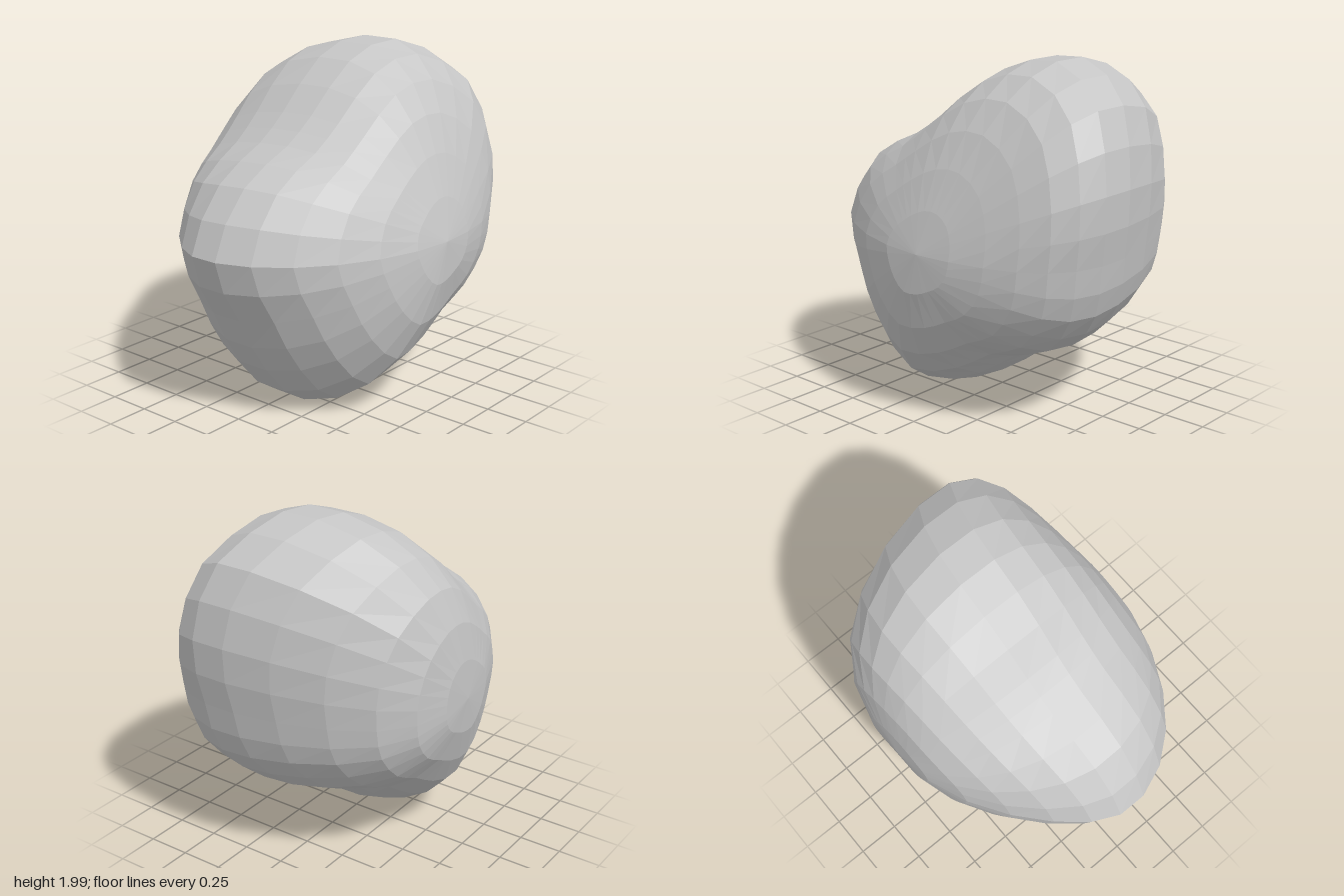
import * as THREE from 'three';

// Lobed outline of the boulder at its widest, counter-clockwise every 22.5 degrees (x, y)
const OUTLINE = [
  [0.96, 1.0], [1.0, 1.38], [0.87, 1.79], [0.49, 1.99], [0.1, 1.91], [-0.23, 1.66],
  [-0.43, 1.53], [-0.77, 1.37], [-1.0, 1.01], [-0.84, 0.64], [-0.64, 0.29], [-0.32, 0.0],
  [0.1, 0.14], [0.37, 0.33], [0.66, 0.44], [0.89, 0.69],
];
const CENTRE = new THREE.Vector2(0.09, 1.0);
const SIDES = 32, BANDS = 13, DEPTH = 0.8;
const WIDEST = Math.cos(Math.PI / BANDS / 2); // size of the two middle rings

// Depth of a point on the ring whose unit depth is c (1 front pole, -1 back pole)
function depthAt(x, y, c) {
  const up = y - 1;
  let z = DEPTH * c;
  if (x > 0) z += 0.25 * x ** 3; // right lobe leans forward
  if (c > 0) { // front: upper part slopes back, chin bulges
    return z - (up > 0 ? 0.22 * c ** 3 * up : 0.12 * c * up * (1 - x));
  }
  if (up > 0) z += 0.27 * c * up * up; // fuller upper back
  return z + (x > 0 ? -0.36 * x * x * c * c : -0.2 * x * x * c);
}

// The two hollows beside the lobes get deeper towards the back
function heightAt(x, y, c) {
  const hollow = x * (1 - y) > 0 ? 0.2 * x * Math.abs(1 - y) : 0;
  return y + hollow * Math.max(0, 0.3 - c);
}

export function createModel() {
  const group = new THREE.Group();
  const stone = new THREE.MeshStandardMaterial({ color: 0xc6c6c6 });
  stone.name = 'stone grey';

  const curve = new THREE.CatmullRomCurve3(
    OUTLINE.map(([x, y]) => new THREE.Vector3(x, y, 0)), true, 'catmullrom', 0.5);

  // Rings run from the front pole to the back pole
  const positions = [], index = [];
  for (let i = 0; i <= BANDS; i++) {
    const theta = (i / BANDS) * Math.PI;
    const s = Math.sin(theta) / WIDEST, c = Math.cos(theta);
    const lobed = 0.4 + 0.6 * s * s; // rings get rounder towards the poles
    for (let j = 0; j < SIDES; j++) {
      const p = curve.getPoint(j / SIDES);
      const dx = p.x - CENTRE.x, dy = p.y - CENTRE.y;
      const k = s * THREE.MathUtils.lerp(0.96 / Math.hypot(dx, dy), 1, lobed);
      const x = CENTRE.x + dx * k, y = CENTRE.y + dy * k;
      positions.push(x, heightAt(x, y, c), depthAt(x, y, c));
    }
  }
  for (let i = 0; i < BANDS; i++) {
    for (let j = 0; j < SIDES; j++) {
      const n = (j + 1) % SIDES;
      const a = i * SIDES + j, b = a + SIDES;
      const d = i * SIDES + n, e = d + SIDES;
      if (i < BANDS - 1) index.push(a, b, e);
      if (i > 0) index.push(a, e, d);
    }
  }

  const indexed = new THREE.BufferGeometry();
  indexed.setAttribute('position', new THREE.Float32BufferAttribute(positions, 3));
  indexed.setIndex(index);
  const geometry = indexed.toNonIndexed(); // separate facets
  geometry.computeVertexNormals();

  const boulder = new THREE.Mesh(geometry, stone);
  boulder.name = 'boulder';
  group.add(boulder);
  return group;
}
